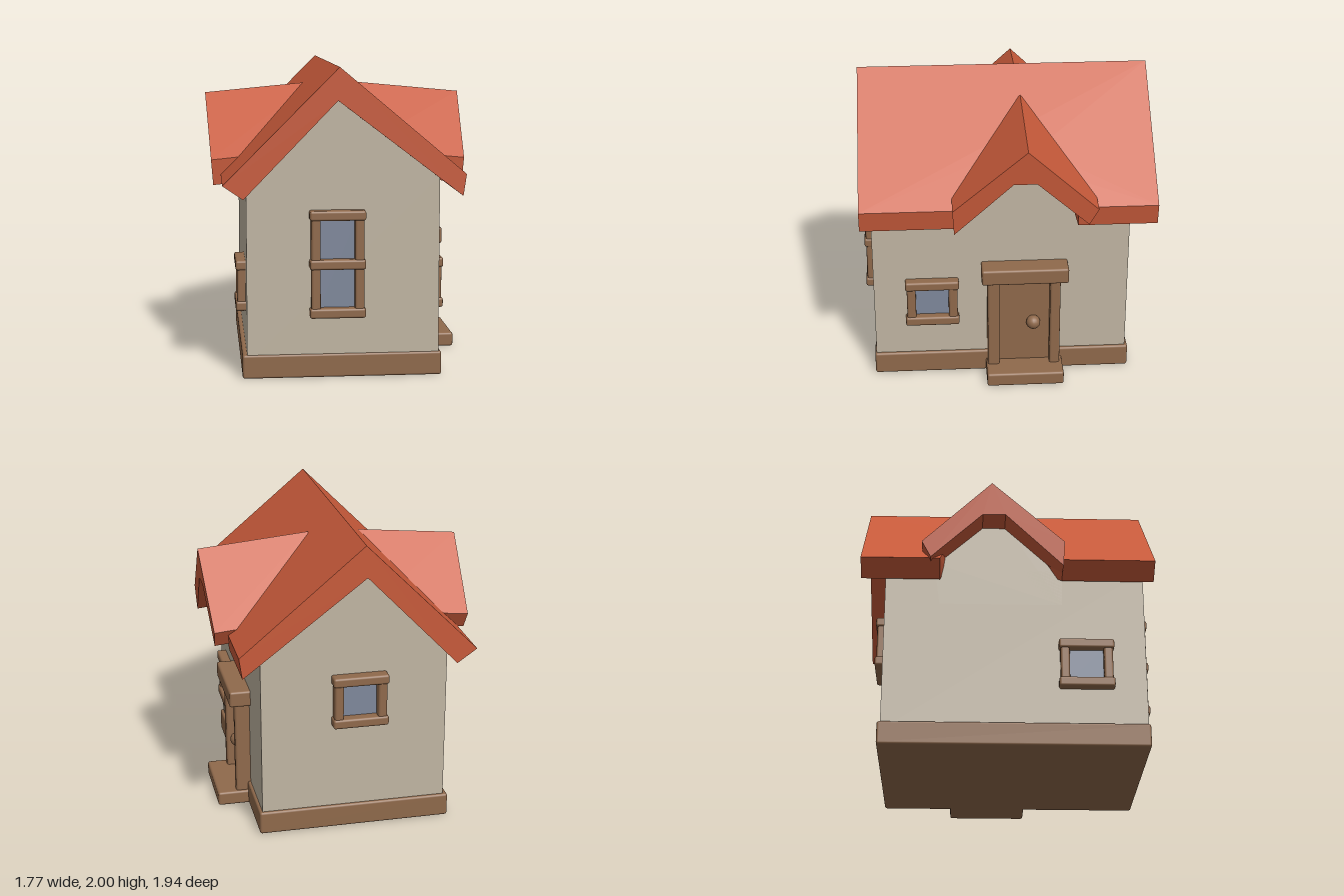
import * as THREE from 'three';
import { RoundedBoxGeometry } from 'three/addons/geometries/RoundedBoxGeometry.js';

const mat = (name, color) => {
  const m = new THREE.MeshStandardMaterial({ color });
  m.name = name;
  return m;
};

export function createModel() {
  const house = new THREE.Group();
  house.name = 'house';
  const roofMat = mat('terracotta', 0xc75a3a);
  const wallMat = mat('plaster', 0xc0b5a2);
  const woodMat = mat('wood', 0x8f694b);
  const glassMat = mat('glass', 0x7f889b);

  const add = (parent, name, geo, material) => {
    const mesh = new THREE.Mesh(geo, material);
    mesh.name = name;
    parent.add(mesh);
    return mesh;
  };
  // Soft-edged box given by its minimum and maximum corners
  const block = (parent, name, min, max, material, r = 0.015) => {
    const s = max.map((v, i) => v - min[i]);
    const mesh = add(parent, name, new RoundedBoxGeometry(s[0], s[1], s[2], 2, r), material);
    mesh.position.set(...max.map((v, i) => (v + min[i]) / 2));
    return mesh;
  };
  const extrude = (points, depth) => new THREE.ExtrudeGeometry(
    new THREE.Shape(points.map(p => new THREE.Vector2(...p))), { depth, bevelEnabled: false });
  // Moves every vertex by a rule (x, y, z) => [x, y, z]
  const remap = (geo, rule) => {
    const p = geo.attributes.position;
    for (let i = 0; i < p.count; i++) p.setXYZ(i, ...rule(p.getX(i), p.getY(i), p.getZ(i)));
    geo.computeVertexNormals();
    return geo;
  };
  const lerp = THREE.MathUtils.lerp;

  // Plinth and gabled walls
  block(house, 'plinth', [-0.67, 0, -0.83], [0.62, 0.155, 0.91], woodMat);
  const walls = extrude([[-0.64, 0.1], [0.6, 0.1], [0.6, 1.3], [-0.06, 1.85], [-0.64, 1.25]], 1.71);
  add(house, 'walls', walls.translate(0, 0, -0.81), wallMat);

  // Both sides of the roof: a main slope notched around a cross gable
  const ridge = [[-0.05, 2], [-0.06, 1.79]]; // outer, inner
  const sides = [
    { s: 1, wall: 0.6, eave: [[0.76, 1.32], [0.74, 1.18]] },
    { s: -1, wall: 0.64, eave: [[-0.79, 1.26], [-0.66, 1.17]] },
  ];
  // Outline as z and distance down the slope (0 ridge, 1 eave)
  const slope = [[0.97, 0], [0.97, 1], [0.36, 1], [0.2, 0.8], [0, 0.6],
    [-0.2, 0.6], [-0.41, 0.8], [-0.45, 1], [-0.97, 1], [-0.97, 0]];
  // Cross gable section as z and y
  const chevron = [[0.37, 1.36], [-0.11, 1.78], [-0.57, 1.35], [-0.51, 1.24],
    [-0.17, 1.55], [-0.02, 1.55], [0.36, 1.19]];
  const dormer = [[0.36, 1], [0.36, 1.25], [-0.02, 1.61], [-0.17, 1.61], [-0.49, 1.3], [-0.45, 1]];

  for (const { s, wall, eave } of sides) {
    const slab = remap(extrude(slope.map(([z, t]) => [-s * z, 1 - t]), 1), (a, b, d) => {
      const t = 1 - b;
      const at = k => lerp(lerp(ridge[1][k], eave[1][k], t), lerp(ridge[0][k], eave[0][k], t), d);
      return [at(0), at(1), -s * a];
    });
    add(house, s > 0 ? 'leftRoofSlope' : 'rightRoofSlope', slab, roofMat);

    // Cross roof rises slightly towards the main ridge
    const cross = remap(extrude(chevron.map(([z, y]) => [-s * z, y]), 1), (a, y, d) => {
      const end = 0.84 + 0.045 * (y - 1.19) / 0.59;
      return [s * lerp(0.14, end, d), y + 0.07 * (1 - d), -s * a];
    });
    add(house, s > 0 ? 'leftCrossRoof' : 'rightCrossRoof', cross, roofMat);

    const gable = extrude(dormer.map(([z, y]) => [-s * z, y]), wall - 0.1);
    gable.rotateY(s * Math.PI / 2).translate(s * 0.1, 0, 0);
    add(house, s > 0 ? 'leftGableWall' : 'rightGableWall', gable, wallMat);
  }

  // Framed window facing +z, origin at the bottom centre on the wall
  const windowUnit = (name, w, h, panes, depth) => {
    const g = new THREE.Group();
    g.name = name;
    const x = w / 2;
    for (const s of [-1, 1]) {
      const c = s * (x - 0.04);
      block(g, 'windowPost', [c - 0.03, 0.02, -0.03], [c + 0.03, h - 0.02, depth - 0.01], woodMat);
    }
    for (let i = 0; i <= panes; i++) {
      const y = lerp(0.03, h - 0.03, i / panes);
      block(g, 'windowRail', [-x, y - 0.032, -0.03], [x, y + 0.032, depth], woodMat);
    }
    const glass = add(g, 'windowGlass', new THREE.BoxGeometry(w - 0.1, h - 0.06, 0.008), glassMat);
    glass.position.set(0, h / 2, 0.006);
    house.add(g);
    return g;
  };
  windowUnit('frontWindow', 0.36, 0.69, 2, 0.07).position.set(-0.06, 0.4, 0.9);
  const back = windowUnit('backWindow', 0.37, 0.35, 1, 0.08);
  back.position.set(-0.05, 0.74, -0.81);
  back.rotation.y = Math.PI;
  for (const { s, wall } of sides) {
    const side = windowUnit(s > 0 ? 'leftWindow' : 'rightWindow', 0.36, 0.33, 1, 0.065);
    side.position.set(s * wall, 0.4, 0.51);
    side.rotation.y = s * Math.PI / 2;
  }

  // Door with posts, lintel, knob and step
  const door = new THREE.Group();
  door.name = 'door';
  house.add(door);
  block(door, 'doorPanel', [0.55, 0.08, -0.3], [0.64, 0.76, 0.08], woodMat);
  block(door, 'doorPost', [0.55, 0.08, 0.06], [0.7, 0.75, 0.14], woodMat);
  block(door, 'doorPost', [0.55, 0.08, -0.35], [0.7, 0.75, -0.28], woodMat);
  block(door, 'lintel', [0.55, 0.74, -0.4], [0.74, 0.85, 0.18], woodMat);
  block(door, 'doorStep', [0.55, 0, -0.37], [0.83, 0.095, 0.15], woodMat);
  add(door, 'doorKnob', new THREE.SphereGeometry(0.048, 16, 12), woodMat).position.set(0.66, 0.4, -0.17);

  return house;
}
